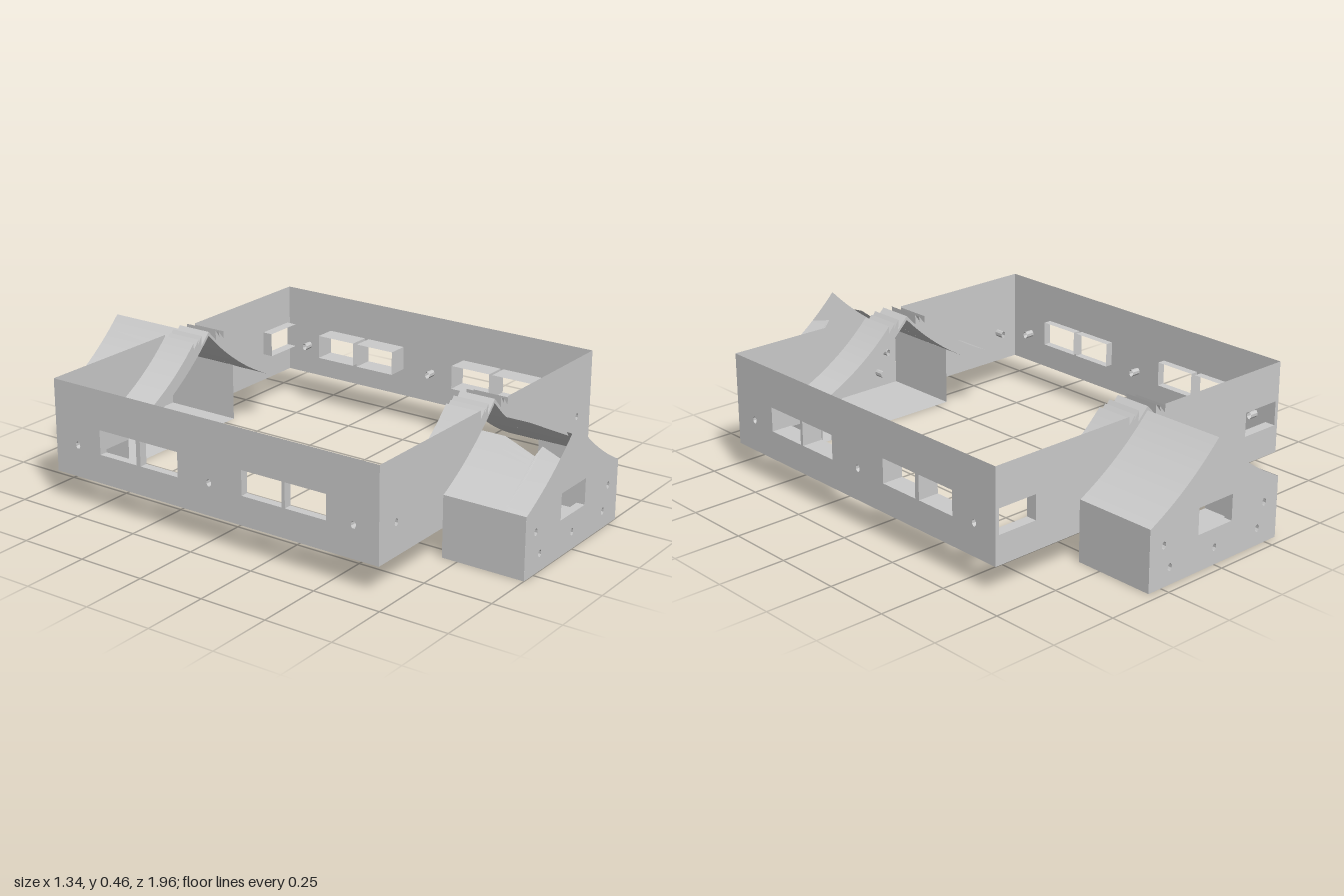
import * as THREE from 'three';

const material = new THREE.MeshStandardMaterial({ color: 0xcccccc, side: THREE.DoubleSide, flatShading: true });
const V2 = (x, y) => new THREE.Vector2(x, y);

// Sagging roof lines, running from ridge to eave
const lower = new THREE.QuadraticBezierCurve(V2(0, 0.445), V2(0.16, 0.28), V2(0.37, 0.19));
const upper = new THREE.QuadraticBezierCurve(V2(0.085, 0.44), V2(0.21, 0.31), V2(0.388, 0.233));
const T_WALL = 0.842; // where the roof line meets the porch side wall
const roofLine = (t0, t1, n = 12) =>
  Array.from({ length: n + 1 }, (_, i) => lower.getPoint(t0 + (t1 - t0) * i / n));
const flip = (pts, s) => pts.map(p => V2(p.x * s, p.y));

function add(parent, name, geometry) {
  const m = new THREE.Mesh(geometry, material);
  m.name = name;
  parent.add(m);
  return m;
}

// Surface through rows of equally many points
function skin(rows) {
  const n = rows[0].length, index = [];
  for (let r = 0; r < rows.length - 1; r++)
    for (let i = 0; i < n - 1; i++) {
      const a = r * n + i, b = a + n;
      index.push(a, b, a + 1, b, b + 1, a + 1);
    }
  const g = new THREE.BufferGeometry().setFromPoints(rows.flat());
  g.setIndex(index);
  g.computeVertexNormals();
  return g;
}

// Openings: outline plus depth of the lining behind it
const windowAt = (x, y, w, h, depth) => ({
  name: 'windowLining', depth,
  pts: [V2(x - w / 2, y - h / 2), V2(x + w / 2, y - h / 2), V2(x + w / 2, y + h / 2), V2(x - w / 2, y + h / 2)]
});
const portAt = (x, y, capped = false) => ({
  name: 'portLining', depth: 0.035, capped,
  pts: Array.from({ length: 8 }, (_, i) => {
    const a = (i + 0.5) * Math.PI / 4;
    return V2(x + 0.01 * Math.cos(a), y + 0.0135 * Math.sin(a));
  })
});

// Thin wall whose outside faces local +z, with lined openings
function wall(name, outline, openings) {
  const g = new THREE.Group();
  g.name = name;
  const shape = new THREE.Shape(outline);
  openings.forEach(o => shape.holes.push(new THREE.Path(o.pts)));
  add(g, 'wallSheet', new THREE.ShapeGeometry(shape));
  for (const o of openings) {
    const loop = [...o.pts, o.pts[0]];
    add(g, o.name, skin([0, -o.depth].map(z => loop.map(p => new THREE.Vector3(p.x, p.y, z)))));
    if (o.capped) add(g, 'portCap', new THREE.ShapeGeometry(new THREE.Shape(o.pts))).position.z = -o.depth;
  }
  return g;
}

// One slope of the porch roof; inner edges [z, t] shape the broken ridge
function porchSlope(s, edges) {
  return skin(edges.map(([z, t]) => roofLine(t, T_WALL).map(p => new THREE.Vector3(p.x * s, p.y, z))));
}

// Porch and end wall, built facing +z with the wall plane at z = 0
function endPart(name, depth, broken, wallOpenings) {
  const g = new THREE.Group();
  g.name = name;

  // Gable wall
  const gable = wall('gableWall',
    [V2(-0.305, 0), V2(0.305, 0), ...flip(roofLine(0, T_WALL), 1).reverse(), ...flip(roofLine(0, T_WALL), -1).slice(1)],
    [windowAt(0, 0.178, 0.16, 0.095, 0.03), portAt(0.24, 0.147), portAt(-0.24, 0.147),
      ...[-0.21, 0, 0.21].map(x => portAt(x, 0.062, true))]);
  gable.position.z = depth;
  g.add(gable);

  // Porch floor
  const floor = add(g, 'porchFloor', new THREE.PlaneGeometry(0.61, depth));
  floor.rotation.x = Math.PI / 2;
  floor.position.z = depth / 2;

  const edges = broken
    ? [[0, 0.23], [0.09, 0.23], [0.22, 0.33], [0.23, 0.24], [depth, 0.3]]
    : [[0, 0], [depth, 0]];

  for (const s of [-1, 1]) {
    const side = add(g, 'porchSideWall', new THREE.PlaneGeometry(depth, 0.222));
    side.rotation.y = s * Math.PI / 2;
    side.position.set(s * 0.305, 0.111, depth / 2);

    add(g, 'porchRoof', porchSlope(s, edges));

    // End wall beside and above the porch roof
    const outline = [V2(0.305, 0.105), V2(0.67, 0.105), V2(0.67, 0.445), V2(0.085, 0.445), ...roofLine(0.25, T_WALL)];
    g.add(wall('endWall', flip(outline, s), wallOpenings(s)));

    // Thick inner roof with a splintered ridge
    const profile = [...roofLine(0, 1).reverse(), V2(0, 0.46), V2(0.042, 0.417), V2(0.04, 0.455),
      V2(0.062, 0.425), V2(0.058, 0.445), V2(0.086, 0.412), ...upper.getPoints(12)];
    const slab = add(g, 'innerRoof', new THREE.ExtrudeGeometry(
      new THREE.Shape(flip(profile, s)), { depth: 0.135, bevelEnabled: false }));
    slab.position.z = -0.135;
  }
  return g;
}

export function createModel() {
  const model = new THREE.Group();
  model.name = 'courtyardBuilding';

  // Front and back ends
  const front = endPart('frontEnd', 0.308, true, s => [portAt(s * 0.575, 0.222)]);
  front.position.z = 0.692;
  const back = endPart('backEnd', 0.308, false, s => [windowAt(s * 0.577, 0.255, 0.156, 0.09, 0.04)]);
  back.rotation.y = Math.PI;
  back.position.z = -0.657;
  model.add(front, back);

  // Long side walls with paired windows and small ports
  for (const s of [-1, 1]) {
    const u = z => -s * z;
    const a = u(0.692), b = u(-0.657);
    const side = wall(s > 0 ? 'leftWall' : 'rightWall',
      [V2(a, 0.105), V2(b, 0.105), V2(b, 0.445), V2(a, 0.445)],
      [...[0.41, 0.235, -0.195, -0.375].map(z => windowAt(u(z), 0.255, 0.162, 0.09, s > 0 ? 0.08 : 0.03)),
        ...[0.595, 0.018, -0.558].map(z => portAt(u(z), 0.222))]);
    side.rotation.y = s * Math.PI / 2;
    side.position.x = s * 0.67;
    model.add(side);
  }
  return model;
}
